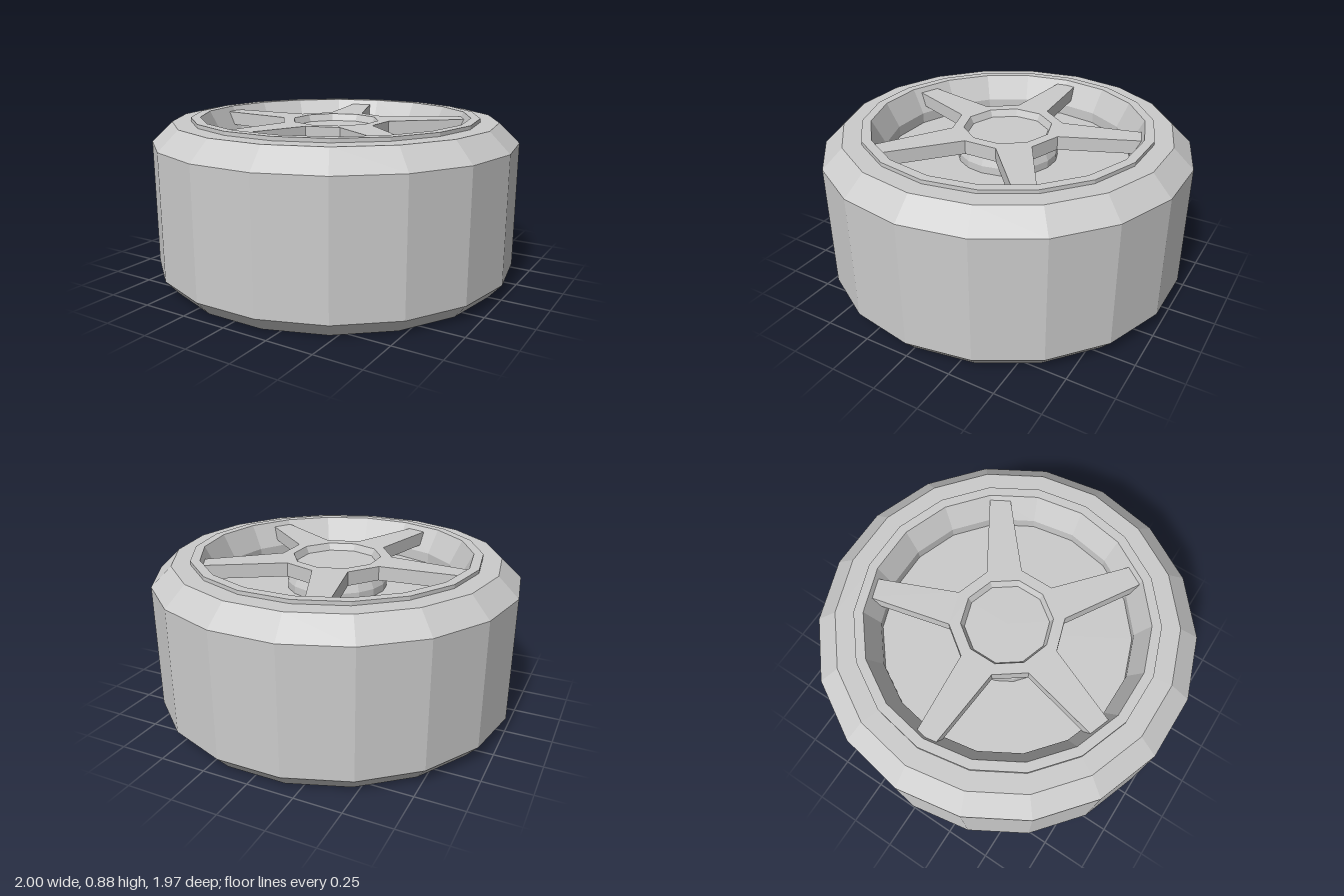
import * as THREE from 'three';

const material = new THREE.MeshStandardMaterial({ color: 0xcccccc, flatShading: true });

function addMesh(group, name, geometry) {
  const mesh = new THREE.Mesh(geometry, material);
  mesh.name = name;
  group.add(mesh);
  return mesh;
}

// Faceted solid of revolution from [radius, height] pairs
function turned(points, sides, start) {
  const profile = points.map(([r, y]) => new THREE.Vector2(r, y));
  return new THREE.LatheGeometry(profile, sides, start);
}

const polar = (r, a) => new THREE.Vector2(r * Math.cos(a), r * Math.sin(a));

export function createModel() {
  const wheel = new THREE.Group();
  wheel.name = 'wheel';

  // Tyre with bevelled shoulders and a recessed back
  addMesh(wheel, 'tire', turned([
    [0, 0.2], [0.56, 0.2], [0.65, 0], [0.93, 0], [1, 0.08],
    [1, 0.76], [0.89, 0.865], [0.78, 0.865],
  ], 18, Math.PI / 2));

  // Rim lip, sloping barrel and dish floor
  addMesh(wheel, 'rim', turned([
    [0.79, 0.86], [0.79, 0.885], [0.74, 0.885], [0.67, 0.75], [0.67, 0.69], [0, 0.69],
  ], 18, Math.PI / 2));

  // Hub barrel between the dish and the spokes
  addMesh(wheel, 'hub', turned([[0.275, 0.68], [0.275, 0.73], [0.25, 0.79]], 18, Math.PI / 2));

  // Five tapered spokes as one star-shaped plate
  const outline = [];
  for (let i = 0; i < 5; i++) {
    const a = Math.PI / 5 + (i * Math.PI * 2) / 5;
    outline.push(
      polar(0.3, a - Math.PI / 10), polar(0.737, a - 0.075),
      polar(0.737, a + 0.075), polar(0.3, a + Math.PI / 10));
  }
  const star = new THREE.Shape(outline);
  const hole = [];
  for (let i = 0; i < 10; i++) hole.push(polar(0.24, -(i + 0.5) * Math.PI / 5));
  star.holes.push(new THREE.Path(hole));
  const plate = new THREE.ExtrudeGeometry(star, { depth: 0.075, bevelEnabled: false });
  plate.rotateX(-Math.PI / 2);
  addMesh(wheel, 'spokes', plate).position.y = 0.783;

  // Sunken centre cap
  addMesh(wheel, 'centerCap', turned([[0.24, 0.858], [0.222, 0.82], [0, 0.82]], 10, 0));

  return wheel;
}
